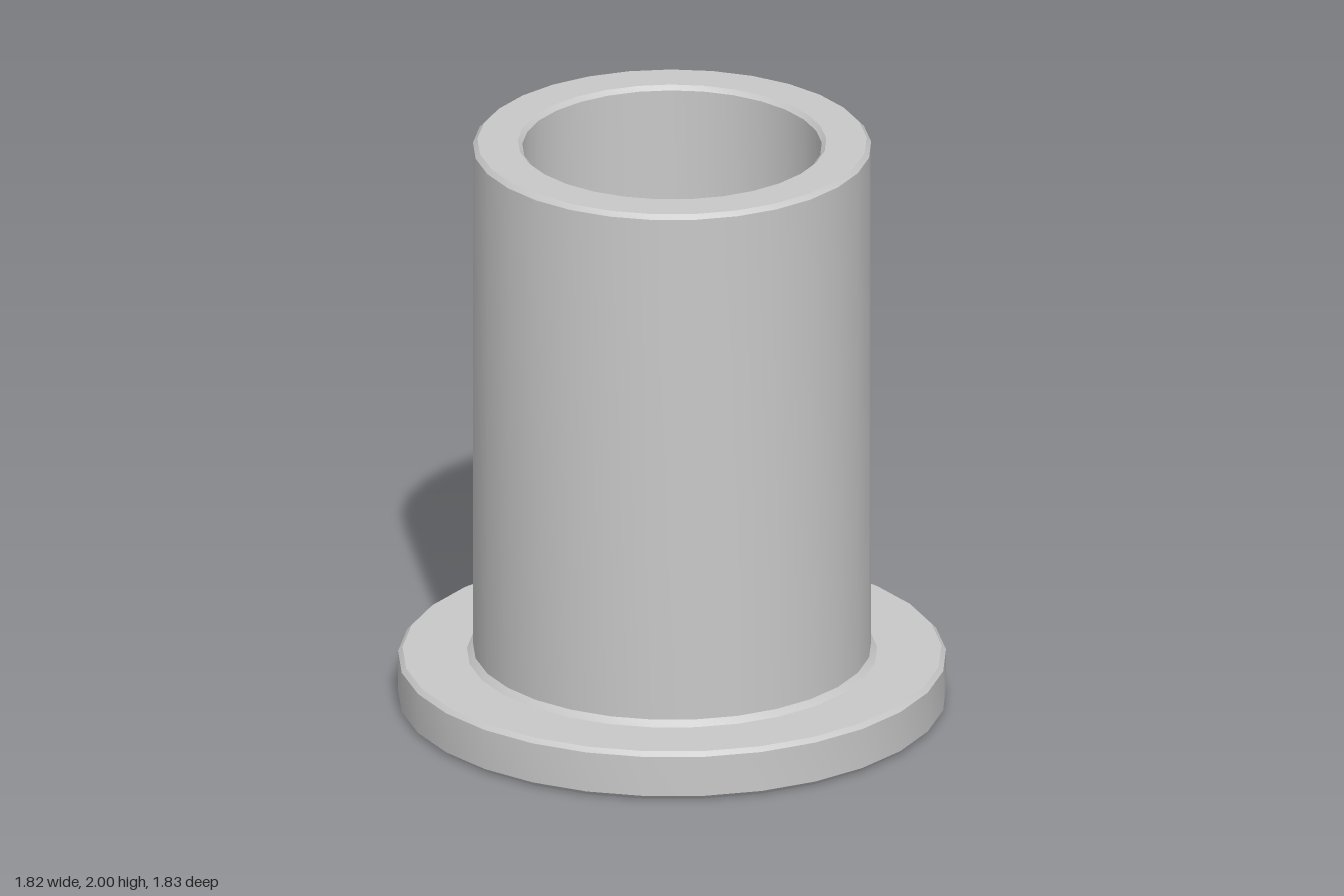
import * as THREE from 'three';
import { toCreasedNormals } from 'three/addons/utils/BufferGeometryUtils.js';

const SIDES = 29;
const BORE = 0.5, TUBE = 0.665, FLANGE = 0.915;
const HEIGHT = 2, FLANGE_TOP = 0.17, CHAMFER = 0.015, FILLET = 0.02;

export function createModel() {
  const model = new THREE.Group();
  model.name = 'flangedBushing';

  const metal = new THREE.MeshStandardMaterial({ color: 0xc8c8c8 });
  metal.name = 'light grey metal';

  // Closed cross-section: underside, flange, fillet, tube wall, rim, bore
  const profile = [
    [BORE, CHAMFER],
    [BORE + CHAMFER, 0],
    [FLANGE - CHAMFER, 0],
    [FLANGE, CHAMFER],
    [FLANGE, FLANGE_TOP - CHAMFER],
    [FLANGE - CHAMFER, FLANGE_TOP],
    [TUBE + FILLET, FLANGE_TOP],
    [TUBE, FLANGE_TOP + FILLET],
    [TUBE, HEIGHT - CHAMFER],
    [TUBE - CHAMFER, HEIGHT],
    [BORE + CHAMFER, HEIGHT],
    [BORE, HEIGHT - CHAMFER],
    [BORE, CHAMFER],
  ].map(([r, y]) => new THREE.Vector2(r, y));

  // Smooth around the axis, sharp at the chamfers
  const lathe = new THREE.LatheGeometry(profile, SIDES, Math.PI / 2);
  const bushing = new THREE.Mesh(toCreasedNormals(lathe, 0.5), metal);
  bushing.name = 'bushingBody';
  model.add(bushing);

  return model;
}
